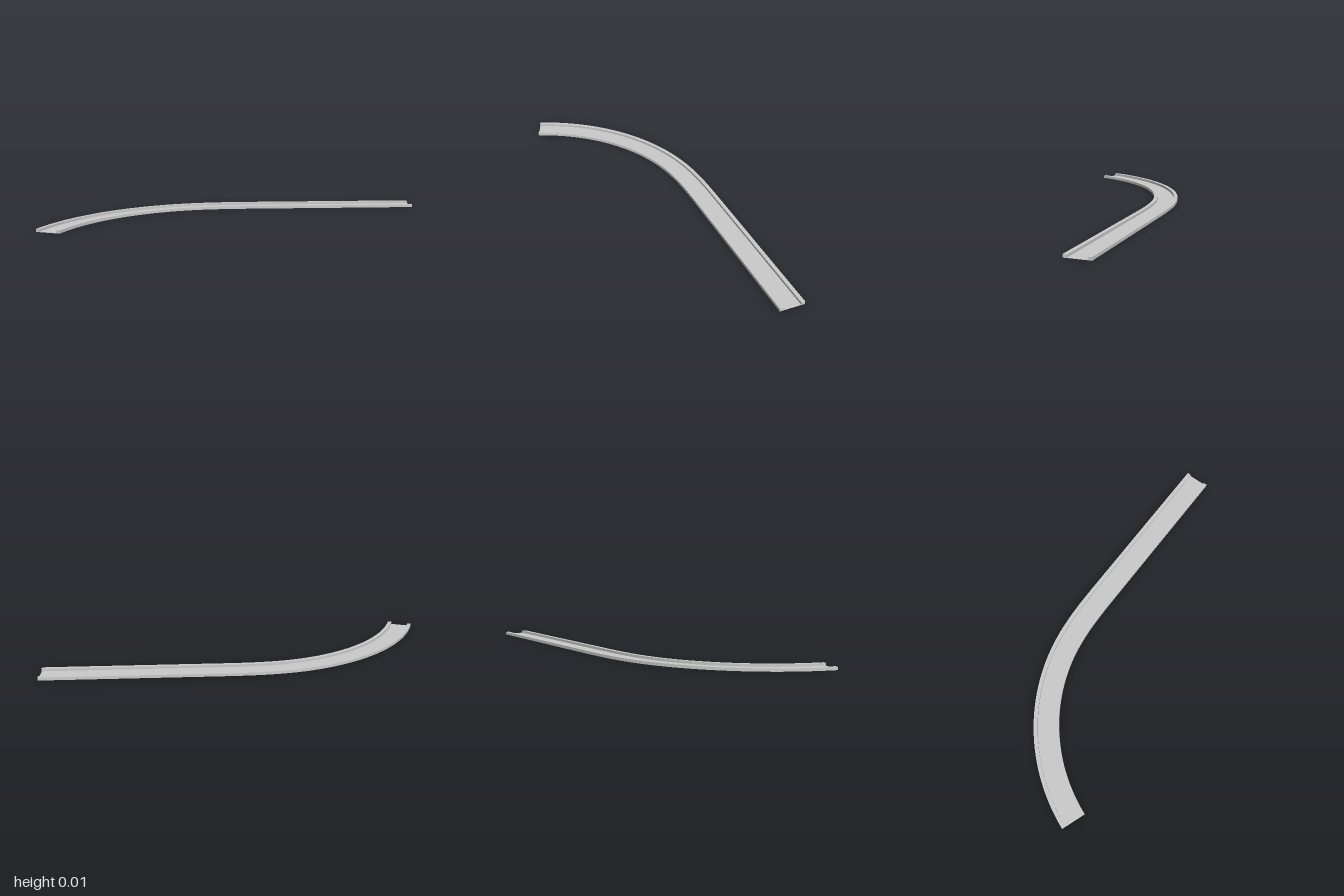
import * as THREE from 'three';

const HALF = 0.065, KERB = 0.02, HEIGHT = 0.015, FLOOR = 0.002;

// Centre line: a straight run, then a bend that tightens gradually into a circular arc
function makeStations() {
  const R = 0.943, ease = 0.4, turn = 1.213, steps = 40, sub = 20;
  const length = R * turn + ease / 2;
  const heading = s => (s < ease ? (s * s) / (2 * R * ease) : (s - ease / 2) / R);
  let x = 0.143, z = -0.29;
  const stations = [{ x: 1, z, a: 0 }, { x, z, a: 0 }];
  const ds = length / (steps * sub);
  for (let i = 0; i < steps * sub; i++) {
    const a = heading((i + 0.5) * ds);
    x -= Math.cos(a) * ds;
    z += Math.sin(a) * ds;
    if ((i + 1) % sub === 0) stations.push({ x, z, a: heading((i + 1) * ds) });
  }
  return stations;
}

// Sweep a rectangle (sideways offsets o0..o1, height 0..h) along the centre line
function sweep(stations, o0, o1, h) {
  const profile = [[o0, 0], [o1, 0], [o1, h], [o0, h]];
  const positions = [], index = [];
  for (const { x, z, a } of stations) {
    for (const [o, y] of profile) positions.push(x - Math.sin(a) * o, y, z - Math.cos(a) * o);
  }
  const last = (stations.length - 1) * 4;
  for (let k = 0; k < last; k += 4) {
    for (let j = 0; j < 4; j++) {
      const n = (j + 1) % 4;
      index.push(k + j, k + 4 + j, k + 4 + n, k + j, k + 4 + n, k + n);
    }
  }
  // End caps
  index.push(0, 1, 2, 0, 2, 3, last, last + 2, last + 1, last, last + 3, last + 2);
  const indexed = new THREE.BufferGeometry();
  indexed.setAttribute('position', new THREE.Float32BufferAttribute(positions, 3));
  indexed.setIndex(index);
  const geometry = indexed.toNonIndexed();
  geometry.computeVertexNormals();
  return geometry;
}

export function createModel() {
  const group = new THREE.Group();
  group.name = 'curvedTrack';
  const material = new THREE.MeshStandardMaterial({ color: 0xcccccc, flatShading: true });
  const stations = makeStations();
  const inner = HALF - KERB;
  const parts = [
    ['roadBed', -inner, inner, FLOOR],
    ['outerKerb', inner, HALF, HEIGHT],
    ['innerKerb', -HALF, -inner, HEIGHT],
  ];
  for (const [name, o0, o1, h] of parts) {
    const mesh = new THREE.Mesh(sweep(stations, o0, o1, h), material);
    mesh.name = name;
    group.add(mesh);
  }
  return group;
}
